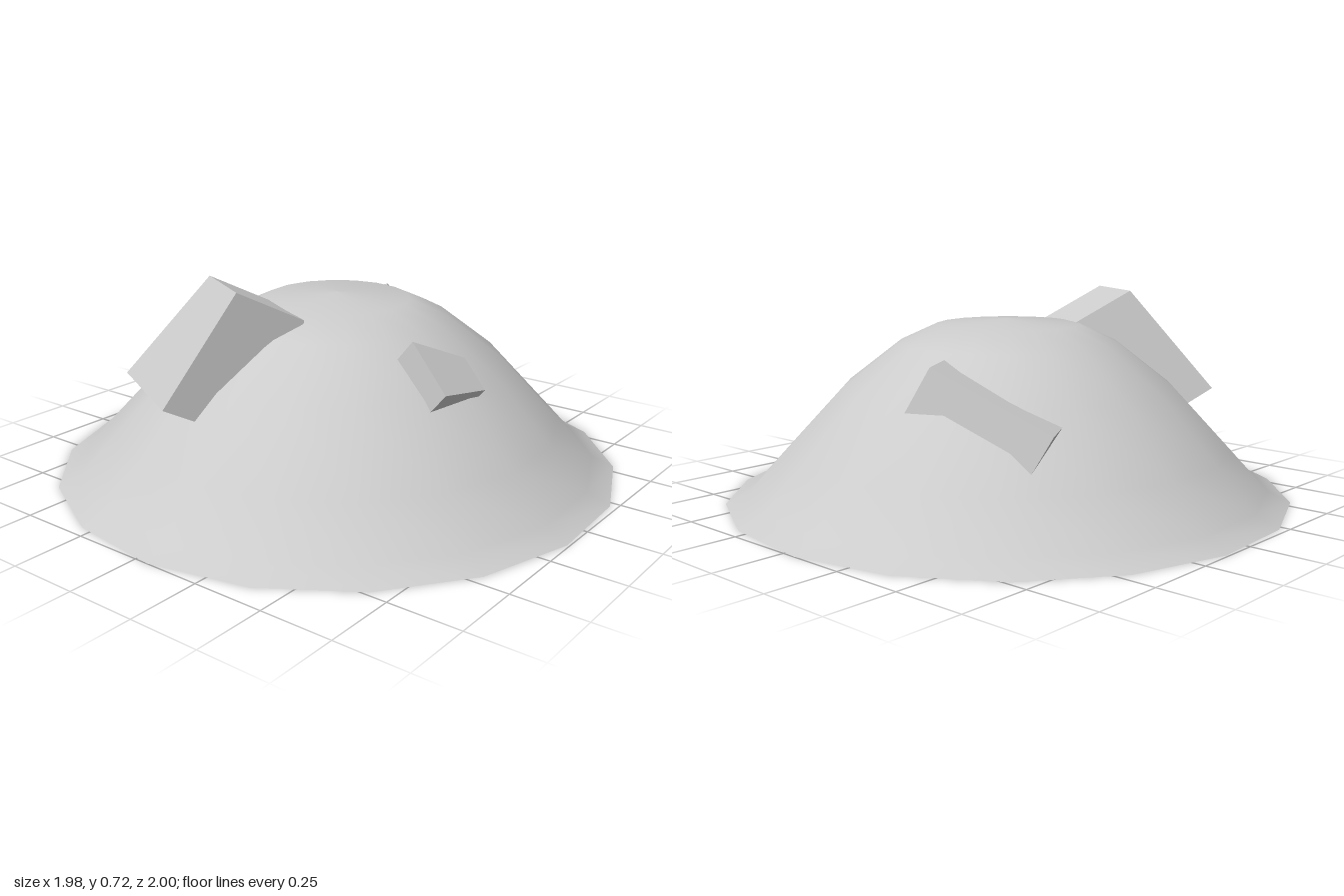
import * as THREE from 'three';

const material = new THREE.MeshStandardMaterial({ color: 0xcccccc });
const openMaterial = new THREE.MeshStandardMaterial({ color: 0xcccccc, side: THREE.DoubleSide });

// Tapered block: one long edge from bigCorner to smallCorner, square ends
// spanned by the directions u and w with the given side lengths.
function createRock(name, { smallCorner, bigCorner, u, w, small, big }) {
  const from = new THREE.Vector3(...bigCorner);
  const to = new THREE.Vector3(...smallCorner);
  const uDir = new THREE.Vector3(...u).normalize();
  const wDir = new THREE.Vector3(...w).normalize();
  const geometry = new THREE.BoxGeometry(1, 1, 1);
  const position = geometry.attributes.position;
  const p = new THREE.Vector3();
  for (let i = 0; i < position.count; i++) {
    const t = position.getY(i) + 0.5;
    const size = THREE.MathUtils.lerp(big, small, t);
    p.lerpVectors(from, to, t)
      .addScaledVector(uDir, (position.getX(i) + 0.5) * size)
      .addScaledVector(wDir, (position.getZ(i) + 0.5) * size);
    position.setXYZ(i, p.x, p.y, p.z);
  }
  geometry.computeVertexNormals();
  const rock = new THREE.Mesh(geometry, material);
  rock.name = name;
  return rock;
}

export function createModel() {
  const group = new THREE.Group();
  group.name = 'rockyMound';

  // Hollow mound, open underneath
  const profile = [
    [1, 0], [0.92, 0.04], [0.79, 0.18], [0.585, 0.4], [0.39, 0.55], [0.255, 0.612], [0, 0.632],
  ].map(([r, y]) => new THREE.Vector2(r, y));
  const mound = new THREE.Mesh(new THREE.LatheGeometry(profile, 18, 0.05), openMaterial);
  mound.name = 'mound';
  group.add(mound);

  // Rocks half buried in the slope
  group.add(
    createRock('frontRock', {
      smallCorner: [-0.26, 0.72, 0.37], bigCorner: [-0.51, 0.37, 0.54],
      u: [0.11, -0.12, -0.21], w: [0.23, 0, 0.12], small: 0.262, big: 0.43,
    }),
    createRock('leftRock', {
      smallCorner: [0.53, 0.49, 0.005], bigCorner: [0.46, 0.58, 0.21],
      u: [-0.65, -0.75, -0.1], w: [0.155, -0.14, 0.04], small: 0.13, big: 0.21,
    }),
    createRock('backRock', {
      smallCorner: [-0.17, 0.53, -0.55], bigCorner: [-0.6, 0.355, -0.46],
      u: [0.45, -0.87, -0.22], w: [0.5, 0, 0.87], small: 0.26, big: 0.405,
    }),
  );
  return group;
}
